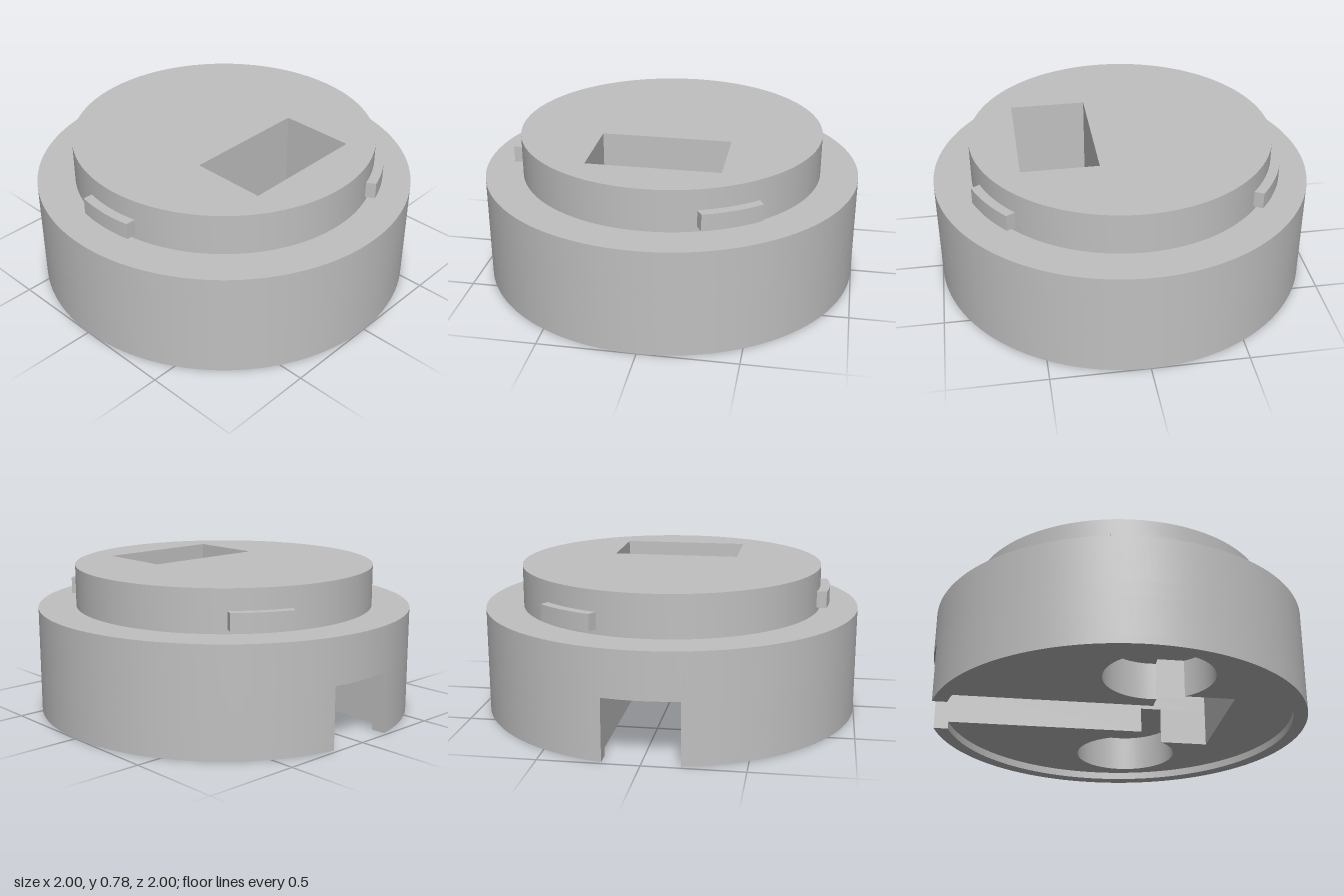
import * as THREE from 'three';
import { toCreasedNormals } from 'three/addons/utils/BufferGeometryUtils.js';

const R = 1;                                     // body radius
const SLOT = 0.19;                               // half width of the cable slot
const WIN = { x: 0.34, z0: 0.155, z1: 0.555 };   // rectangular through hole
const BORE = { x: 0.56, z: 0.12, r: 0.28 };      // blind round pockets

export function createModel() {
  const model = new THREE.Group();
  const grey = new THREE.MeshStandardMaterial({ color: 0xc0c0c0 });
  grey.name = 'plain grey';

  // Extrude a plan drawn in (x, z) between two heights
  function slab(name, shape, y0, y1, parent = model) {
    const flat = new THREE.ExtrudeGeometry(shape, {
      depth: y1 - y0, bevelEnabled: false, curveSegments: 96,
    });
    flat.rotateX(Math.PI / 2).translate(0, y1, 0);
    const mesh = new THREE.Mesh(toCreasedNormals(flat, 0.5), grey);
    mesh.name = name;
    parent.add(mesh);
    return mesh;
  }

  // Arc round the body, open at the back (-z) where the slot leaves
  function openArc(shape, r, reverse = false) {
    const gap = Math.asin(SLOT / r);
    const a = -Math.PI / 2 + gap, b = 1.5 * Math.PI - gap;
    shape.absarc(0, 0, r, reverse ? b : a, reverse ? a : b, reverse);
    return shape;
  }

  // Full disc with the rectangular hole
  function discWithWindow(r) {
    const shape = new THREE.Shape().absarc(0, 0, r, 0, Math.PI * 2, false);
    shape.holes.push(new THREE.Path([
      new THREE.Vector2(-WIN.x, WIN.z0), new THREE.Vector2(-WIN.x, WIN.z1),
      new THREE.Vector2(WIN.x, WIN.z1), new THREE.Vector2(WIN.x, WIN.z0),
      new THREE.Vector2(-WIN.x, WIN.z0),
    ]));
    return shape;
  }

  // Bottom lip around the shallow recess
  slab('bottomRim', openArc(openArc(new THREE.Shape(), R), 0.925, true), 0, 0.04);

  // Layer with slot, hole and the two pockets that cut into the hole's corners
  const enter = Math.asin((WIN.z0 - BORE.z) / BORE.r);
  const leave = Math.acos((BORE.x - WIN.x) / BORE.r);
  const pocketed = openArc(new THREE.Shape(), R);
  pocketed.lineTo(-SLOT, WIN.z0);
  pocketed.absarc(-BORE.x, BORE.z, BORE.r, enter, leave, true);
  pocketed.lineTo(-WIN.x, WIN.z1);
  pocketed.lineTo(WIN.x, WIN.z1);
  pocketed.absarc(BORE.x, BORE.z, BORE.r, Math.PI - leave, Math.PI - enter, true);
  pocketed.lineTo(SLOT, WIN.z0);
  slab('pocketLayer', pocketed, 0.04, 0.24);

  // Layer with slot and hole only
  const slotted = openArc(new THREE.Shape(), R);
  slotted.lineTo(-SLOT, WIN.z0);
  slotted.lineTo(-WIN.x, WIN.z0);
  slotted.lineTo(-WIN.x, WIN.z1);
  slotted.lineTo(WIN.x, WIN.z1);
  slotted.lineTo(WIN.x, WIN.z0);
  slotted.lineTo(SLOT, WIN.z0);
  slab('slotLayer', slotted, 0.24, 0.32);

  // Upper body and the narrower top plug
  slab('upperBody', discWithWindow(R), 0.32, 0.56);
  slab('topPlug', discWithWindow(0.8), 0.56, 0.78);

  // Three curved locking tabs with parallel ends
  const half = 0.16;
  const outer = Math.asin(half / 0.85), inner = Math.asin(half / 0.79);
  const tabShape = new THREE.Shape();
  tabShape.absarc(0, 0, 0.85, -outer, outer, false);
  tabShape.absarc(0, 0, 0.79, inner, -inner, true);
  for (const angle of [Math.PI / 3, Math.PI, -Math.PI / 3]) {
    slab('lockingTab', tabShape, 0.585, 0.672).rotation.y = angle;
  }
  return model;
}
